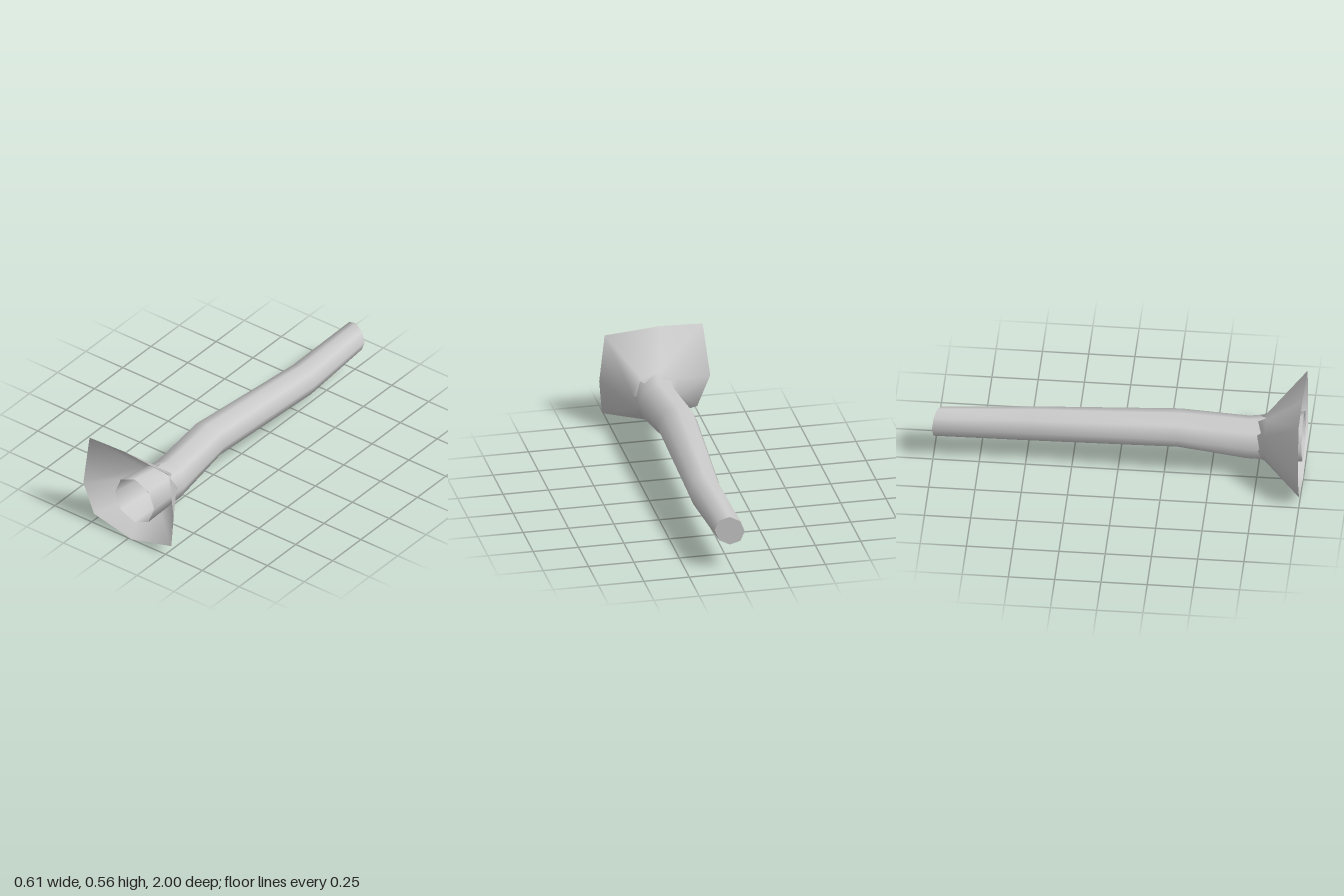
import * as THREE from 'three';

const SIDES = 8;
const material = new THREE.MeshStandardMaterial({ color: 0xcccccc, side: THREE.DoubleSide });

// Octagonal ring around (cx, cy, z); tilt slants it in z across x
function ring(cx, cy, z, rx, ry, tilt = 0, turn = 0) {
  return Array.from({ length: SIDES }, (_, j) => {
    const a = (j / SIDES) * Math.PI * 2 + turn;
    const dx = rx * Math.cos(a);
    return [cx + dx, cy + ry * Math.sin(a), z + tilt * dx];
  });
}

// Smooth skin through rings ordered from front to back
function loft(rings) {
  const index = [];
  for (let i = 0; i < rings.length - 1; i++) {
    for (let j = 0; j < SIDES; j++) {
      const k = (j + 1) % SIDES;
      const a0 = i * SIDES + j, a1 = i * SIDES + k;
      const b0 = a0 + SIDES, b1 = a1 + SIDES;
      index.push(a0, b0, a1, a1, b0, b1);
    }
  }
  const geometry = new THREE.BufferGeometry();
  geometry.setAttribute('position', new THREE.Float32BufferAttribute(rings.flat(2), 3));
  geometry.setIndex(index);
  geometry.computeVertexNormals();
  return geometry;
}

// Flat polygon closing a ring, facing the back
function cap(points) {
  const index = [];
  for (let j = 1; j < SIDES - 1; j++) index.push(0, j + 1, j);
  const geometry = new THREE.BufferGeometry();
  geometry.setAttribute('position', new THREE.Float32BufferAttribute(points.flat(), 3));
  geometry.setIndex(index);
  geometry.computeVertexNormals();
  return geometry;
}

export function createModel() {
  const group = new THREE.Group();
  const add = (name, geometry) => {
    const mesh = new THREE.Mesh(geometry, material);
    mesh.name = name;
    group.add(mesh);
  };

  // Bent stem, open at the mouth and slanted at the far end
  const end = ring(0.022, 0.242, -0.978, 0.078, 0.082, 0.29);
  add('stem', loft([
    ring(0.041, 0.263, 1, 0.133, 0.14),
    ring(0.042, 0.238, 0.7, 0.113, 0.118),
    ring(0.025, 0.288, 0.33, 0.113, 0.098),
    ring(0.046, 0.244, -0.47, 0.091, 0.094),
    end,
  ]));
  add('stemEnd', cap(end));

  // Uneven flared collar, narrowing to a closed throat inside the stem
  const rim = [
    [0.305, 0.26], [0.275, 0.53], [-0.035, 0.555], [-0.265, 0.547],
    [-0.307, 0.235], [-0.235, 0.06], [0.02, 0], [0.29, 0.07],
  ].map(([x, y]) => [x, y, 1]);
  add('flare', loft([
    rim,
    ring(0.035, 0.25, 0.8, 0.135, 0.129, 0, 0.12),
    ring(0.04, 0.247, 0.755, 0.108, 0.112, 0, 0.12),
    ring(0.04, 0.247, 0.745, 0.001, 0.001),
  ]));

  return group;
}
